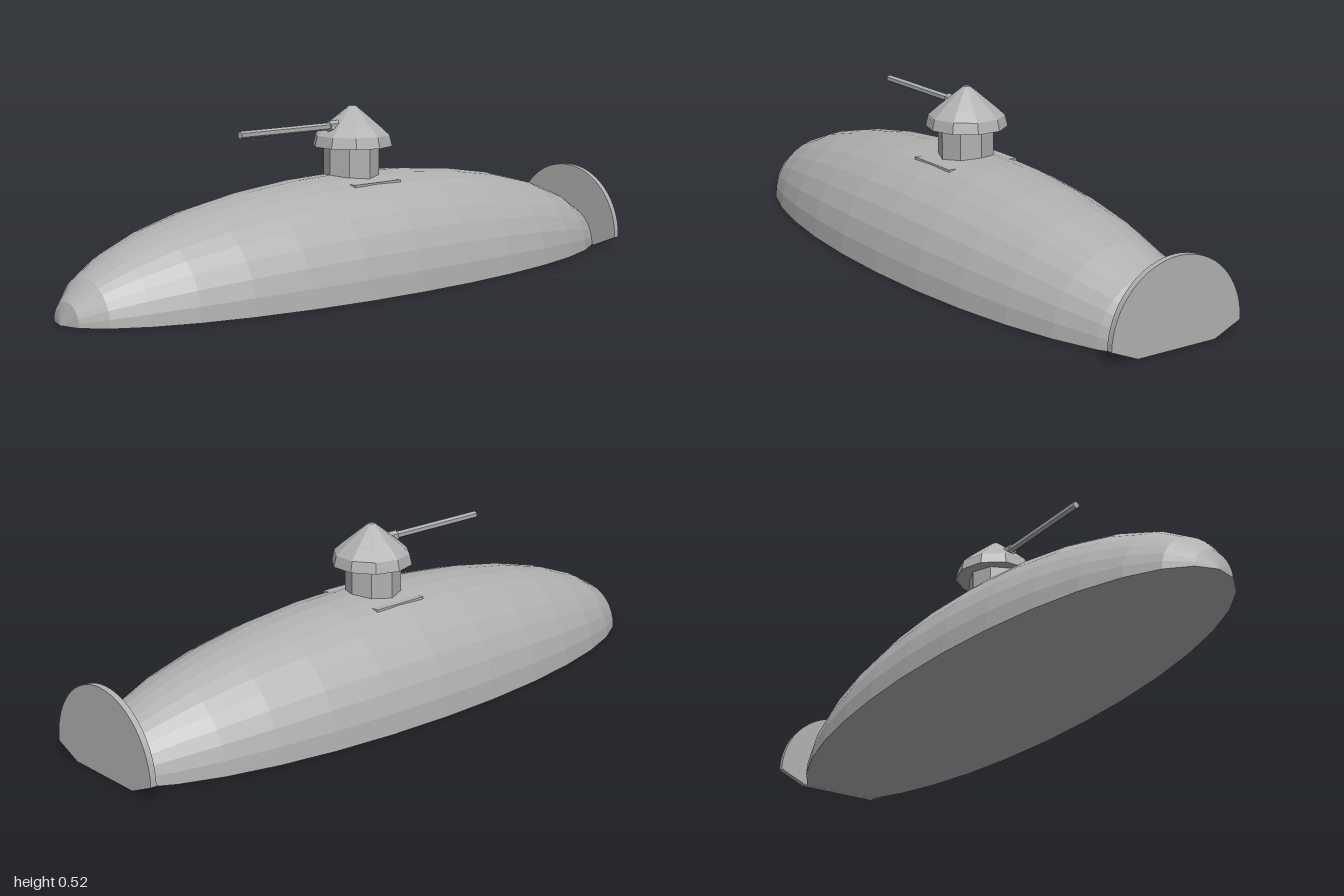
import * as THREE from 'three';

export function createModel() {
  const model = new THREE.Group();
  const grey = new THREE.MeshStandardMaterial({ color: 0xb0b0b0, flatShading: true });
  grey.name = 'grey';

  const add = (name, geometry, x = 0, y = 0, z = 0) => {
    const mesh = new THREE.Mesh(geometry, grey);
    mesh.name = name;
    mesh.position.set(x, y, z);
    model.add(mesh);
    return mesh;
  };

  // Hull: upper half of a long ellipsoid, cut off at the stern
  const R = 0.317, L = 1.03, midZ = -0.03;
  const profile = [];
  for (let i = 14; i >= 0; i--) {
    const a = (i * Math.PI) / 16;
    profile.push(new THREE.Vector2(R * Math.sin(a), L * Math.cos(a)));
  }
  const hull = new THREE.LatheGeometry(profile, 16, Math.PI / 2, Math.PI);
  hull.rotateX(Math.PI / 2);
  add('hull', hull, 0, 0, midZ);

  // Flat underside following the same outline
  const outline = [
    ...profile,
    ...profile.slice(0, -1).reverse().map((p) => new THREE.Vector2(-p.x, p.y)),
  ];
  const floor = new THREE.ShapeGeometry(new THREE.Shape(outline));
  floor.rotateX(Math.PI / 2);
  add('hullUnderside', floor, 0, 0, midZ);

  // Stern plate: half disc with bevelled lower corners
  const plate = new THREE.Shape();
  plate.moveTo(-0.13, 0);
  plate.lineTo(0.13, 0);
  plate.lineTo(0.217, 0.036);
  plate.absarc(0, 0.038, 0.217, 0, Math.PI, false);
  plate.closePath();
  add('sternPlate', new THREE.ExtrudeGeometry(plate, {
    depth: 0.018, bevelEnabled: false, curveSegments: 16,
  }), 0, 0, -1);

  // Turret seat, column and pointed cap
  add('turretSeat', new THREE.BoxGeometry(0.24, 0.03, 0.18), 0, 0.283, -0.03);
  add('turretColumn', new THREE.CylinderGeometry(0.083, 0.083, 0.13, 8), 0, 0.345, -0.03);
  const cap = [[0, 0.397], [0.121, 0.397], [0.113, 0.43], [0.085, 0.455], [0.04, 0.492], [0.01, 0.516], [0, 0.517]];
  add('turretCap', new THREE.LatheGeometry(cap.map(([x, y]) => new THREE.Vector2(x, y)), 10, Math.PI / 10), 0, 0, -0.035);

  // Gun barrel with its collar
  const tube = (name, radius, z0, z1) => {
    const g = new THREE.CylinderGeometry(radius, radius, z1 - z0, 6);
    g.rotateX(Math.PI / 2);
    add(name, g, 0, 0.46, (z0 + z1) / 2);
  };
  tube('gunCollar', 0.016, 0, 0.06);
  tube('gunBarrel', 0.011, 0, 0.39);

  return model;
}
